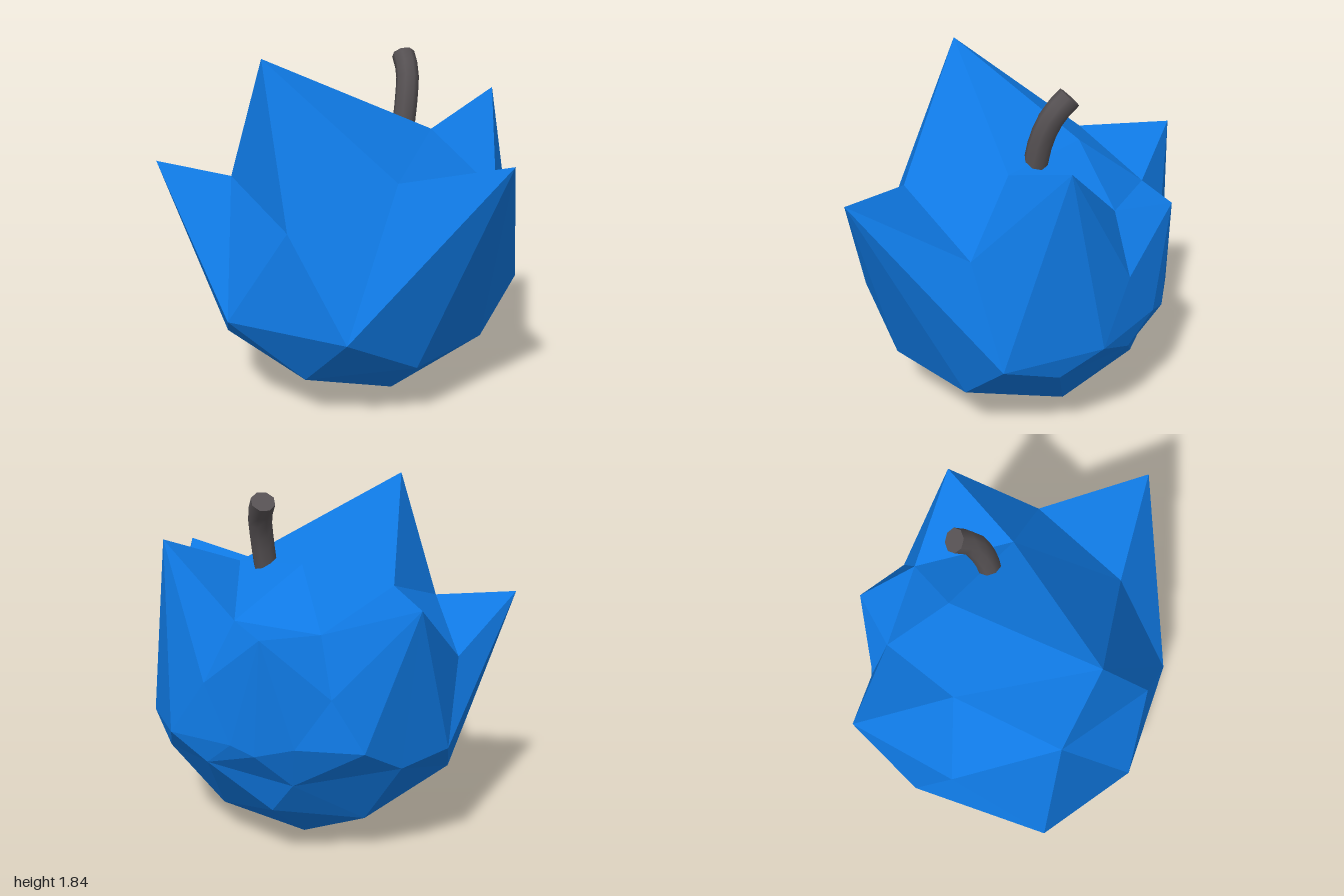
import * as THREE from 'three';

const blue = new THREE.MeshStandardMaterial({ color: 0x0f79e3 });
blue.name = 'berry blue';
const grey = new THREE.MeshStandardMaterial({ color: 0x565153 });
grey.name = 'stem grey';

// Corner points of the faceted berry, grouped by height
const crownTips = {
  A: [-0.55, 1.84, 0.02], B: [0.82, 1.59, 0.12], C: [-0.9, 1.25, -0.56],
  D: [0.26, 1.4, 1], E: [0.06, 1.37, -1], M: [0.67, 1.22, -0.58],
};
const crownHollows = {
  F: [-0.09, 1.265, 0.55], G: [0.56, 1.12, 0.505], H: [0.36, 1.42, 0.19],
  I: [0.26, 1.475, -0.28], J: [-0.12, 1.37, -0.53], K: [0.36, 1.21, -0.62],
  L: [0.63, 1.235, -0.26], N: [0.8, 0.945, -0.25], O: [0.38, 0.925, -0.745],
  P: [-0.37, 1.02, -0.745], Q: [-0.615, 1.2, -0.235], R: [-0.6, 1.04, 0.35],
};
const belt = {
  S: [0.77, 0.59, 0.445], T: [-0.45, 0.53, 0.66], U: [-0.82, 0.54, 0.105],
  V: [0.895, 0.645, -0.05], W: [0.76, 0.677, -0.44], X: [0.69, 0.64, -0.55],
  Y: [0.545, 0.688, -0.68], Z: [-0.2, 0.618, -0.9], d: [0.81, 0.49, 0.15],
  e: [0.8, 0.538, -0.265], h: [0.51, 0.468, -0.603], i: [0.055, 0.554, -0.866],
  j: [0.27, 0.672, -0.866],
};
const base = {
  a: [-0.035, 0.315, 0.66], b: [0.485, 0.32, 0.51], c: [0.59, 0.17, -0.013],
  f: [0.55, 0.297, -0.47], g: [0.11, 0.21, -0.635], k: [0.09, 0, 0.24],
  l: [0.245, 0.02, -0.265], m: [-0.26, 0.035, -0.1], n: [-0.495, 0.225, 0.32],
  o: [-0.67, 0.34, -0.23], p: [-0.405, 0.39, -0.65],
};

// Each fan is a hub point followed by its neighbours, anticlockwise from outside
const fans = [
  'AHIJQRTFH', 'BNLHGSVN', 'CUQPZpoU', 'DGFTabSG', 'EZPJKOjiZ', 'MOKLNWXYO', // tips
  'hijYXefgi', 'VSdeWN', 'UonTRQ',                                           // belt
  'kcbanmlc', 'clfedb', 'gflmpi', 'mnop',                                    // base
  'IHLKJ', 'FGH', 'JPQ', 'jOY', 'eXW', 'ipZ', 'naT', 'bdS',                  // gaps
];

function buildBerry() {
  const points = { ...crownTips, ...crownHollows, ...belt, ...base };
  const positions = [];
  for (const [hub, ...ring] of fans) {
    for (let n = 0; n + 1 < ring.length; n++) {
      positions.push(...points[hub], ...points[ring[n]], ...points[ring[n + 1]]);
    }
  }
  // Unshared corners give every facet its own flat normal
  const geometry = new THREE.BufferGeometry();
  geometry.setAttribute('position', new THREE.Float32BufferAttribute(positions, 3));
  geometry.computeVertexNormals();
  const mesh = new THREE.Mesh(geometry, blue);
  mesh.name = 'berry';
  return mesh;
}

function buildStem() {
  const stem = new THREE.Group();
  stem.name = 'stem';
  const radius = 0.062, sides = 8;
  const path = new THREE.CatmullRomCurve3([
    new THREE.Vector3(0.3, 1.38, 0.01),
    new THREE.Vector3(0.335, 1.56, -0.01),
    new THREE.Vector3(0.37, 1.69, -0.055),
    new THREE.Vector3(0.392, 1.775, -0.13),
  ]);
  const stalk = new THREE.Mesh(new THREE.TubeGeometry(path, 6, radius, sides), grey);
  stalk.name = 'stalk';

  // Cut end, fitted to the last ring of the stalk
  const ring = stalk.geometry.attributes.position;
  const centre = path.getPoint(1);
  const corner = (n) => new THREE.Vector3().fromBufferAttribute(ring, 6 * (sides + 1) + n);
  const triangles = [];
  const out = path.getTangent(1);
  for (let n = 0; n < sides; n++) {
    let p = corner(n), q = corner(n + 1);
    const turn = p.clone().sub(centre).cross(q.clone().sub(centre));
    if (turn.dot(out) < 0) [p, q] = [q, p];
    triangles.push(centre, p, q);
  }
  const capGeometry = new THREE.BufferGeometry().setFromPoints(triangles);
  capGeometry.computeVertexNormals();
  const cap = new THREE.Mesh(capGeometry, grey);
  cap.name = 'stemEnd';
  stem.add(stalk, cap);
  return stem;
}

export function createModel() {
  const model = new THREE.Group();
  model.name = 'berryWithStem';
  model.add(buildBerry(), buildStem());
  return model;
}
